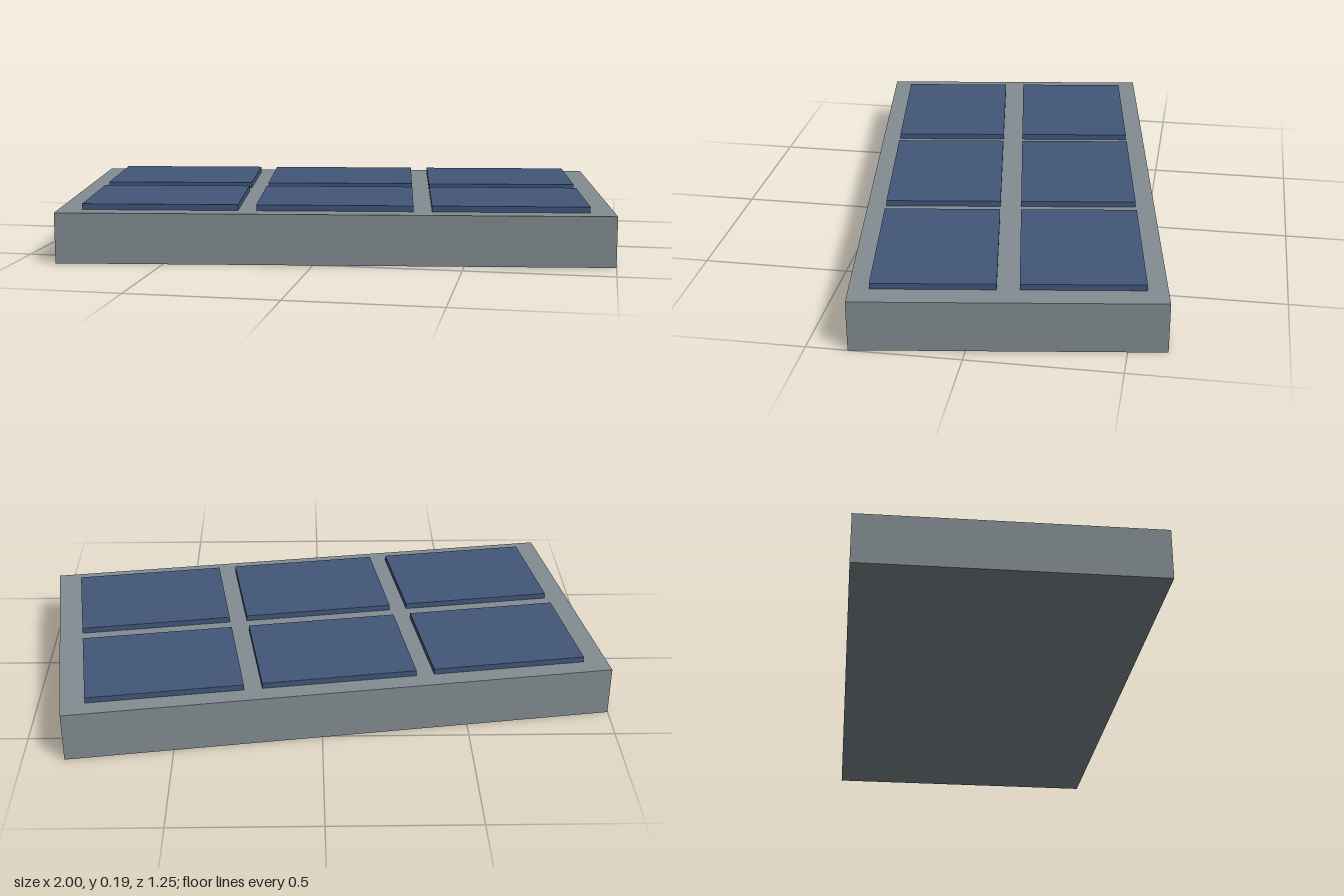
import * as THREE from 'three';

export function createModel() {
  const grey = new THREE.MeshStandardMaterial({ color: 0x838d92 });
  grey.name = 'slate grey';
  const blue = new THREE.MeshStandardMaterial({ color: 0x42577a });
  blue.name = 'panel blue';

  const model = new THREE.Group();
  model.name = 'panelledSlab';
  model.rotation.y = 0.14;

  const addBox = (name, material, [w, h, d], [x, y, z]) => {
    const mesh = new THREE.Mesh(new THREE.BoxGeometry(w, h, d), material);
    mesh.name = name;
    mesh.position.set(x, y + h / 2, z);
    model.add(mesh);
  };

  // Slab standing on the ground
  const slabHeight = 0.173;
  addBox('slab', grey, [1.878, slabHeight, 1.0], [0, 0, 0]);

  // Two rows of three raised panels, slightly sunk into the slab
  const sink = 0.005;
  for (const row of [-1, 1]) {
    for (const column of [-1, 0, 1]) {
      addBox('panel', blue, [0.53, 0.02 + sink, 0.398],
        [column * 0.592, slabHeight - sink, row * 0.235]);
    }
  }

  const root = new THREE.Group();
  root.add(model);
  return root;
}
